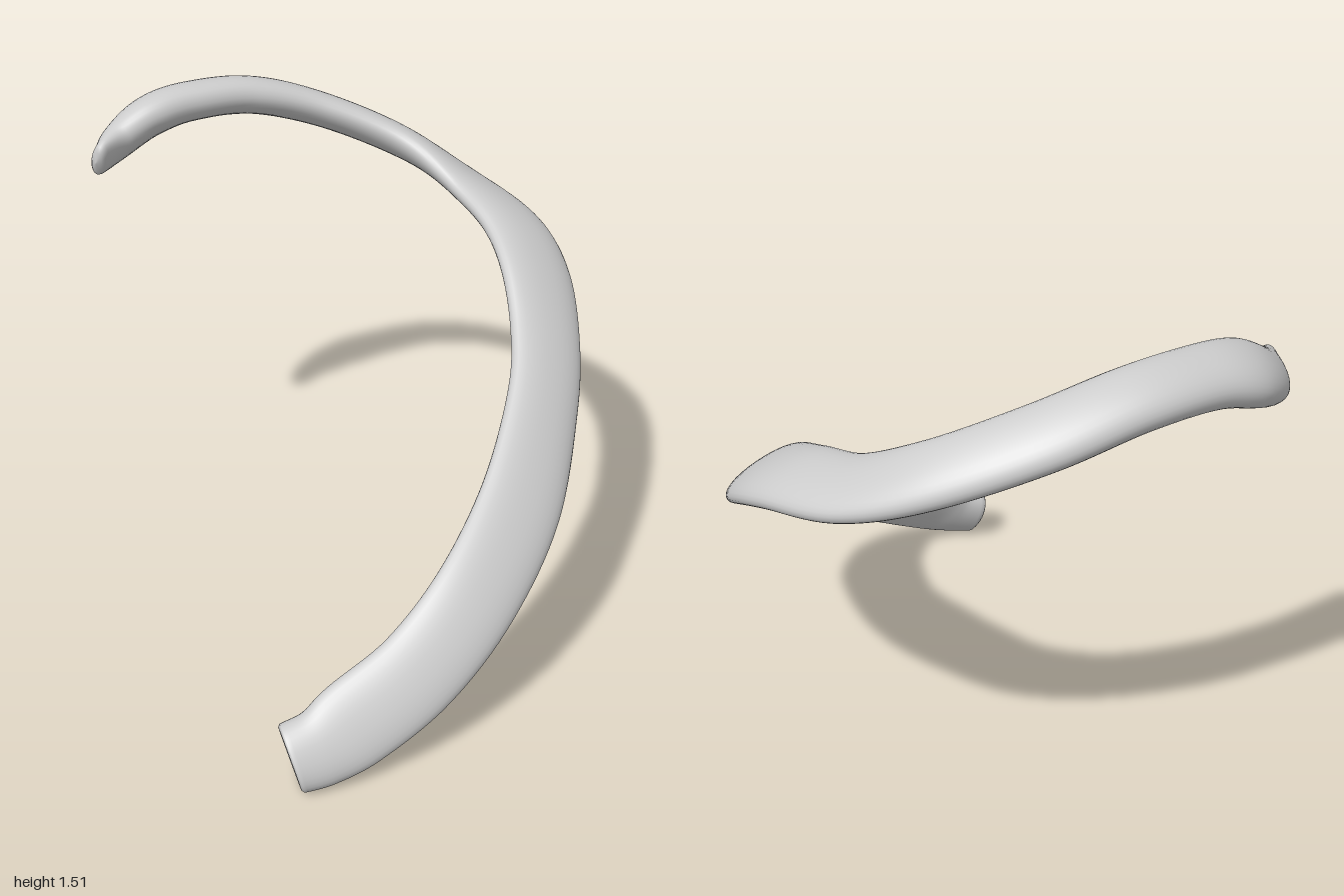
import * as THREE from 'three';

// Stations along the bone: x, y, z, half width, half thickness, face normal x and z (its y is 1)
const STATIONS = [
  [-0.39, 0.11, 0.908, 0.104, 0.066, 0, 1.6],
  [-0.3, 0.132, 0.9, 0.115, 0.056, 0, 1.7],
  [-0.2, 0.18, 0.875, 0.132, 0.048, 0, 1.7],
  [0, 0.285, 0.81, 0.133, 0.046, 0.1, 1.55],
  [0.2, 0.435, 0.685, 0.135, 0.045, 0.3, 1.25],
  [0.39, 0.598, 0.47, 0.137, 0.044, 0.45, 1.05],
  [0.53, 0.775, 0.2, 0.127, 0.046, 0.55, 0.95],
  [0.592, 0.897, 0, 0.13, 0.046, 0.54, 0.72],
  [0.617, 1.025, -0.22, 0.139, 0.047, 0.55, 0.57],
  [0.588, 1.11, -0.42, 0.133, 0.049, 0.44, 0.18],
  [0.485, 1.172, -0.638, 0.12, 0.048, 0.37, -0.2],
  [0.31, 1.267, -0.8, 0.104, 0.052, 0.3, -0.5],
  [0.05, 1.372, -0.888, 0.104, 0.056, 0.1, -0.5],
  [-0.2, 1.445, -0.892, 0.102, 0.063, 0, -0.38],
  [-0.42, 1.455, -0.845, 0.105, 0.066, 0, -0.35],
  [-0.56, 1.428, -0.8, 0.112, 0.068, -0.15, -0.45],
  [-0.67, 1.375, -0.732, 0.086, 0.056, -0.8, -0.7],
  [-0.733, 1.352, -0.65, 0.066, 0.028, -2.4, -1.5],
];
const STEPS = 136;
const SIDES = 32;

const curveOf = (pick) =>
  new THREE.CatmullRomCurve3(STATIONS.map((s) => new THREE.Vector3(...pick(s))), false, 'catmullrom', 0.5);

function ribGeometry() {
  const centres = curveOf((s) => [s[0], s[1], s[2]]);
  const sizes = curveOf((s) => [s[3], s[4], 0]);
  const normals = curveOf((s) => [s[5], 1, s[6]]);
  const positions = [];
  const indices = [];
  let rings = 0;

  // One flattened oval across the path, shifted along it and scaled for the ends
  const addRing = (u, shift = 0, scale = 1) => {
    const tangent = centres.getTangent(u);
    const centre = centres.getPoint(u).addScaledVector(tangent, shift);
    const size = sizes.getPoint(u).multiplyScalar(scale);
    const normal = normals.getPoint(u);
    normal.addScaledVector(tangent, -normal.dot(tangent)).normalize();
    const across = new THREE.Vector3().crossVectors(normal, tangent);
    const soften = (v) => Math.sign(v) * Math.abs(v) ** 0.92;
    for (let j = 0; j < SIDES; j++) {
      const a = (j / SIDES) * Math.PI * 2;
      const p = centre.clone()
        .addScaledVector(across, soften(Math.cos(a)) * size.x)
        .addScaledVector(normal, soften(Math.sin(a)) * size.y);
      positions.push(p.x, p.y, p.z);
    }
    rings++;
  };

  // Hollowed front end
  addRing(0, 0.018, 0.02);
  addRing(0, 0.012, 0.45);
  addRing(0, -0.005, 0.78);
  addRing(0, -0.007, 0.92);
  // Shaft
  for (let i = 0; i <= STEPS; i++) addRing(i / STEPS);
  // Narrow back tip
  addRing(1, 0.014, 0.88);
  addRing(1, 0.024, 0.6);
  addRing(1, 0.03, 0.02);

  for (let i = 0; i < rings - 1; i++) {
    for (let j = 0; j < SIDES; j++) {
      const k = (j + 1) % SIDES;
      const a = i * SIDES + j, b = i * SIDES + k;
      indices.push(a, b, a + SIDES, b, b + SIDES, a + SIDES);
    }
  }
  // Close the tiny end rings
  const last = (rings - 1) * SIDES;
  for (let j = 1; j < SIDES - 1; j++) {
    indices.push(0, j + 1, j, last, last + j, last + j + 1);
  }

  const geometry = new THREE.BufferGeometry();
  geometry.setAttribute('position', new THREE.Float32BufferAttribute(positions, 3));
  geometry.setIndex(indices);
  geometry.computeVertexNormals();
  return geometry;
}

export function createModel() {
  const group = new THREE.Group();
  group.name = 'rib';
  const bone = new THREE.MeshStandardMaterial({ color: 0xcccccc });
  bone.name = 'bone grey';
  const shaft = new THREE.Mesh(ribGeometry(), bone);
  shaft.name = 'ribBone';
  group.add(shaft);
  return group;
}
